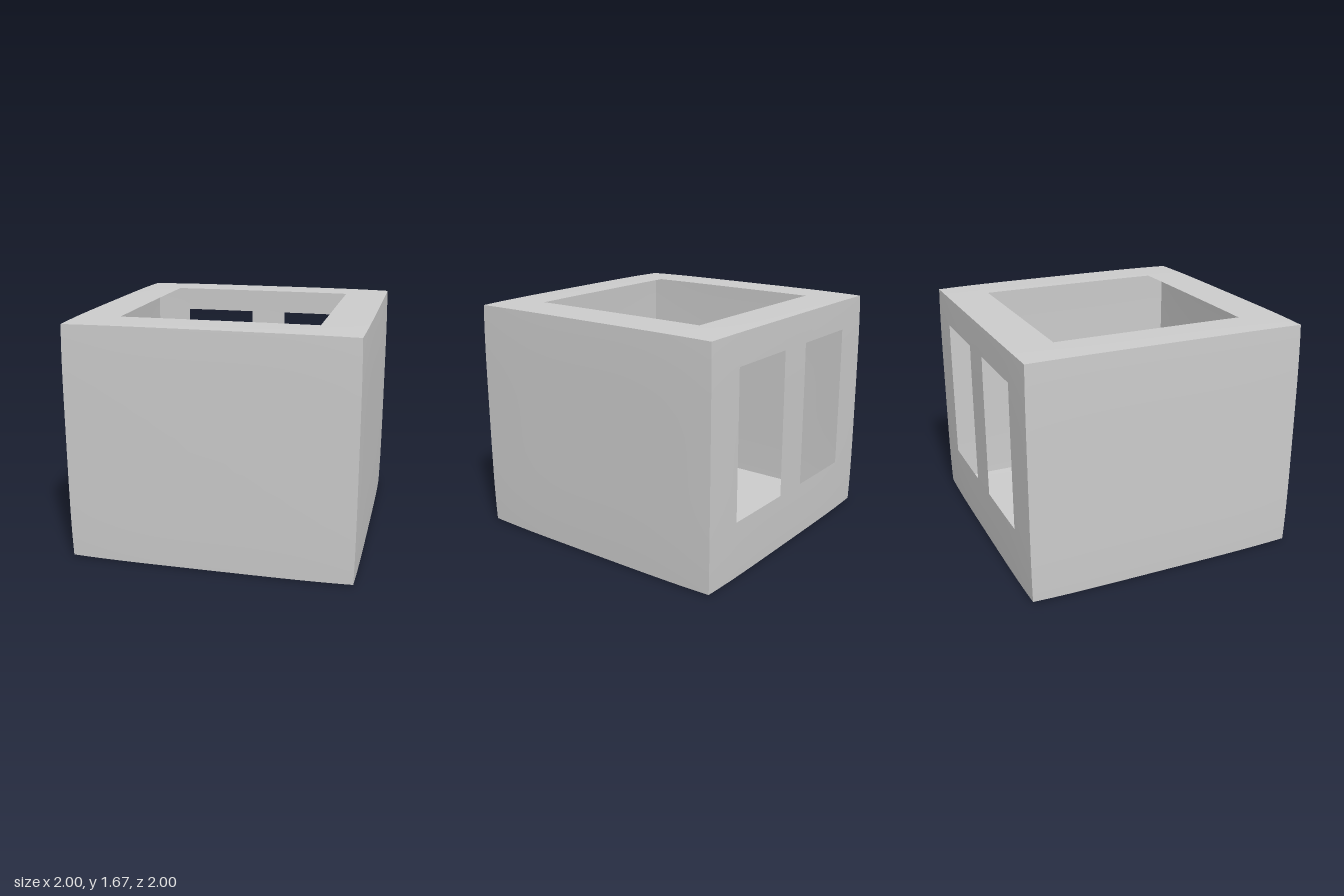
import * as THREE from 'three';
import { toCreasedNormals } from 'three/addons/utils/BufferGeometryUtils.js';

const HALF = new THREE.Vector3(1, 0.8375, 1); // half extents of the shell
const WALL = 0.03;                            // wall thickness

// Gentle pillow shape: faces draw in slightly towards edges and corners.
function warp(p) {
  const [a, b, c] = [p.x / HALF.x, p.y / HALF.y, p.z / HALF.z].map((t) => t ** 4);
  const k = 0.0072;
  return new THREE.Vector3(
    p.x * (1 - k * (b + c)),
    p.y * (1 - k * (a + c)) + HALF.y,
    p.z * (1 - k * (a + b)));
}

// Even divisions plus the edges of the openings and the inner shell limits.
function divisions(half, extra) {
  const list = [-half + WALL, half - WALL, ...extra];
  for (let i = 0; i <= 16; i++) {
    const t = -half + (2 * half * i) / 16;
    if (i === 0 || i === 16 || list.every((e) => Math.abs(e - t) > 0.02)) list.push(t);
  }
  return [...new Set(list)].sort((a, b) => a - b);
}

// One wall with outer skin, inner skin and lined openings [u0, v0, u1, v1].
function makeWall(name, u, v, openings, material) {
  const U = new THREE.Vector3(...u), V = new THREE.Vector3(...v);
  const N = U.clone().cross(V);
  const extent = (d) => Math.abs(d.dot(HALF));
  const hu = extent(U), hv = extent(V), hn = extent(N);
  const points = [];
  const at = (a, b, n) => warp(new THREE.Vector3()
    .addScaledVector(U, a).addScaledVector(V, b).addScaledVector(N, n));
  const quad = (a, b, c, d) => {
    for (const p of [a, b, c, a, c, d]) points.push(p.x, p.y, p.z);
  };
  const us = divisions(hu, openings.flatMap((o) => [o[0], o[2]]));
  const vs = divisions(hv, openings.flatMap((o) => [o[1], o[3]]));
  const out = hn, inn = hn - WALL;

  for (let i = 0; i < us.length - 1; i++) {
    for (let j = 0; j < vs.length - 1; j++) {
      const [a, c, b, d] = [us[i], us[i + 1], vs[j], vs[j + 1]];
      const mu = (a + c) / 2, mv = (b + d) / 2;
      const hole = openings.find((o) => mu > o[0] && mu < o[2] && mv > o[1] && mv < o[3]);
      if (!hole) {
        quad(at(a, b, out), at(c, b, out), at(c, d, out), at(a, d, out));
        if (Math.abs(mu) < hu - WALL && Math.abs(mv) < hv - WALL) {
          quad(at(a, b, inn), at(a, d, inn), at(c, d, inn), at(c, b, inn));
        }
        continue;
      }
      // reveals around the opening, facing into it
      const reveal = (p, q, r, s) =>
        quad(at(p, q, out), at(r, s, out), at(r, s, inn), at(p, q, inn));
      if (a === hole[0]) reveal(a, b, a, d);
      if (c === hole[2]) reveal(c, d, c, b);
      if (b === hole[1]) reveal(c, b, a, b);
      if (d === hole[3]) reveal(a, d, c, d);
    }
  }
  const geometry = new THREE.BufferGeometry();
  geometry.setAttribute('position', new THREE.Float32BufferAttribute(points, 3));
  const mesh = new THREE.Mesh(toCreasedNormals(geometry, Math.PI / 6), material);
  mesh.name = name;
  return mesh;
}

export function createModel() {
  const group = new THREE.Group();
  group.name = 'openRoom';
  const material = new THREE.MeshStandardMaterial({ color: 0xcccccc });
  const windows = [[-0.7, -0.43, -0.14, 0.62], [0.14, -0.43, 0.7, 0.62]];
  const skylight = [[-0.69, -0.69, 0.69, 0.69]];
  const walls = [
    ['frontWall', [1, 0, 0], [0, 1, 0], []],
    ['backWallWithWindows', [-1, 0, 0], [0, 1, 0], windows],
    ['rightWall', [0, 0, 1], [0, 1, 0], []],
    ['leftWall', [0, 0, -1], [0, 1, 0], []],
    ['roofWithOpening', [1, 0, 0], [0, 0, -1], skylight],
    ['floor', [1, 0, 0], [0, 0, 1], []],
  ];
  for (const [name, u, v, openings] of walls) {
    group.add(makeWall(name, u, v, openings, material));
  }
  return group;
}
